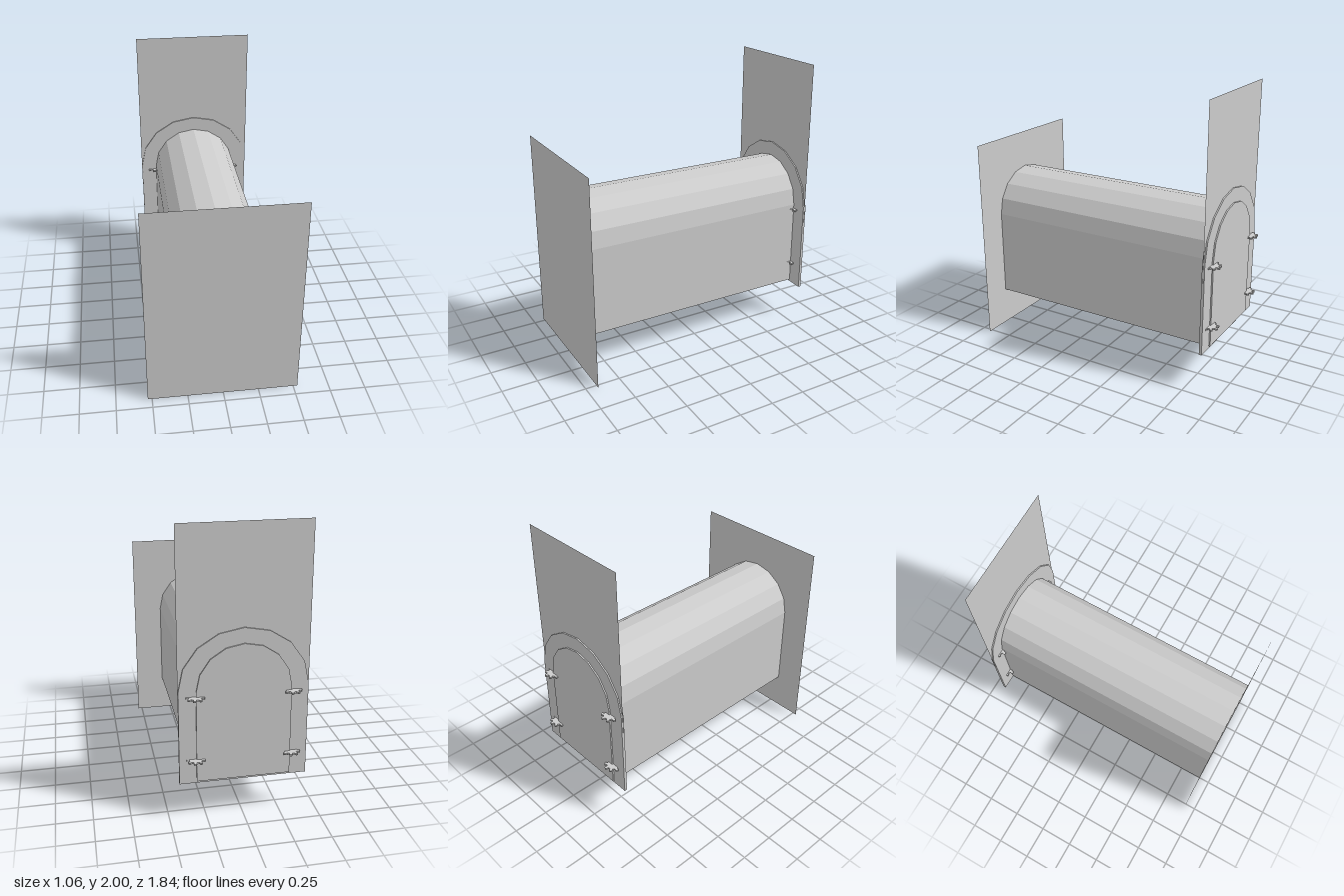
import * as THREE from 'three';

const grey = new THREE.MeshStandardMaterial({ color: 0xcccccc, flatShading: true, side: THREE.DoubleSide });

// Straight-sided arch with an eight-segment rounded top
function archShape(halfWidth, bottom, spring, top) {
  const points = [new THREE.Vector2(-halfWidth, bottom), new THREE.Vector2(halfWidth, bottom)];
  for (let i = 0; i <= 8; i++) {
    const a = (i / 8) * Math.PI;
    points.push(new THREE.Vector2(halfWidth * Math.cos(a), spring + (top - spring) * Math.sin(a)));
  }
  return new THREE.Shape(points);
}

// Toothed disc lying flat, centred on its own axis
function cogGeometry(teeth, inner, outer, thickness) {
  const points = [];
  const profile = [[0, inner], [0.45, inner], [0.5, outer - 0.004], [0.62, outer], [0.83, outer], [0.95, outer - 0.004]];
  for (let i = 0; i < teeth; i++) {
    for (const [t, r] of profile) {
      const a = ((i + t) / teeth) * Math.PI * 2;
      points.push(new THREE.Vector2(r * Math.cos(a), r * Math.sin(a)));
    }
  }
  const geometry = new THREE.ExtrudeGeometry(new THREE.Shape(points), { depth: thickness, bevelEnabled: false });
  return geometry.translate(0, 0, -thickness / 2).rotateX(-Math.PI / 2);
}

export function createModel() {
  const model = new THREE.Group();
  model.name = 'archedTunnel';

  function add(name, geometry, x = 0, y = 0, z = 0) {
    const mesh = new THREE.Mesh(geometry, grey);
    mesh.name = name;
    mesh.position.set(x, y, z);
    model.add(mesh);
    return mesh;
  }

  function addArch(name, shape, back, front) {
    add(name, new THREE.ExtrudeGeometry(shape, { depth: front - back, bevelEnabled: false }), 0, 0, back);
  }

  // Long arched body, and the wider flange around its back end
  addArch('tunnelBody', archShape(0.315, 0.28, 0.915, 1.227), -0.865, 0.918);
  addArch('backFlange', archShape(0.43, 0.265, 0.92, 1.33), -0.855, -0.835);

  // Thin upright panels at both ends
  add('frontPanel', new THREE.PlaneGeometry(1.06, 1.5), 0, 0.75, 0.92);
  add('backPanel', new THREE.PlaneGeometry(0.865, 1.22), 0, 1.39, -0.845);

  // Two pairs of toothed discs at the sides of the back end
  const cog = cogGeometry(8, 0.044, 0.063, 0.012);
  for (const side of [-1, 1]) {
    for (const y of [0.435, 0.88]) {
      add(side > 0 ? 'leftCog' : 'rightCog', cog, side * 0.32, y, -0.86);
    }
  }

  return model;
}
